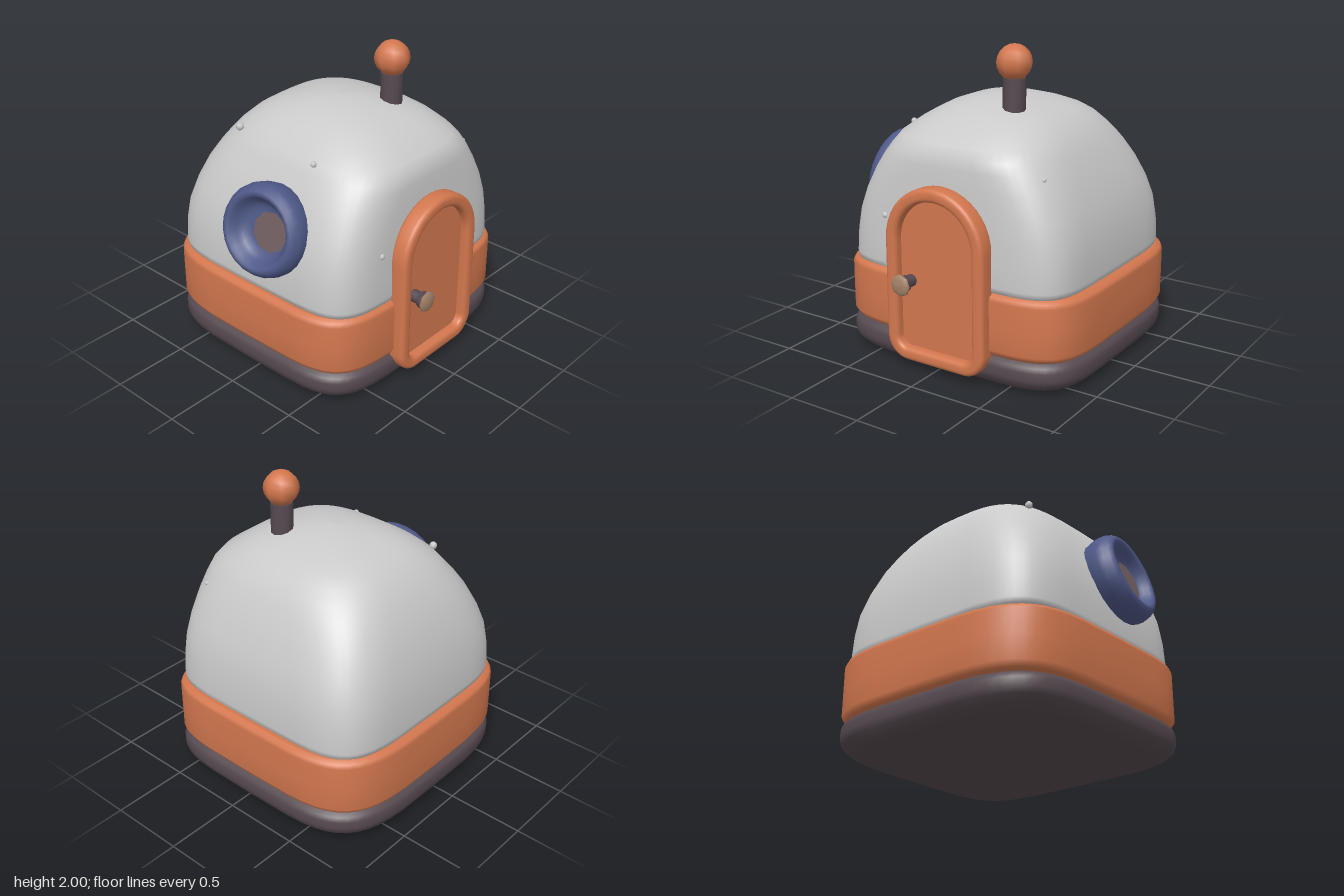
import * as THREE from 'three';
import { toCreasedNormals } from 'three/addons/utils/BufferGeometryUtils.js';

// Skin through rounded-square sections: [y, minX, maxX, back, front, squareness at -x, squareness at +x]
function loft(rows, seg = 48) {
  const pos = [], idx = [];
  rows.forEach(([y, l, r, b, f, nMin, nMax]) => {
    for (let i = 0; i < seg; i++) {
      const t = (i / seg) * Math.PI * 2, c = Math.cos(t), s = Math.sin(t);
      const e = 2 / (c > 0 ? nMax : nMin);
      pos.push(
        (l + r) / 2 + ((r - l) / 2) * Math.sign(c) * Math.abs(c) ** e,
        y,
        (b + f) / 2 + ((f - b) / 2) * Math.sign(s) * Math.abs(s) ** e);
    }
  });
  for (let j = 0; j < rows.length - 1; j++) {
    for (let i = 0; i < seg; i++) {
      const a = j * seg + i, d = j * seg + ((i + 1) % seg);
      idx.push(a, a + seg, d, d, a + seg, d + seg);
    }
  }
  const g = new THREE.BufferGeometry();
  g.setAttribute('position', new THREE.Float32BufferAttribute(pos, 3));
  g.setIndex(idx);
  g.computeVertexNormals();
  return g;
}

// Belt-like slab: profile is a list of [y, inset], closed at both ends
function slab(profile) {
  const row = ([y, d]) => [y, -0.9 + d, 0.755 - d, -0.9 + d, 0.82 - d, 4.2, 5.4];
  const cap = (y) => [y, -0.07, -0.07, -0.04, -0.04, 4, 4];
  const first = profile[0], last = profile[profile.length - 1];
  return loft([cap(first[0]), row(first), ...profile.map(row), row(last), cap(last[0])]);
}

// Arched outline with rounded lower corners
function arch(Type, hw, bottom, top, r) {
  const p = new Type();
  p.moveTo(-hw + r, bottom);
  p.lineTo(hw - r, bottom);
  p.absarc(hw - r, bottom + r, r, -Math.PI / 2, 0, false);
  p.lineTo(hw, top - hw);
  p.absarc(0, top - hw, hw, 0, Math.PI, false);
  p.lineTo(-hw, bottom + r);
  p.absarc(-hw + r, bottom + r, r, Math.PI, Math.PI * 1.5, false);
  return p;
}

export function createModel() {
  const mat = (name, color) => {
    const m = new THREE.MeshStandardMaterial({ color });
    m.name = name;
    return m;
  };
  const grey = mat('shellGrey', 0xcacaca);
  const orange = mat('orange', 0xd2774e);
  const dark = mat('darkBrown', 0x564a50);
  const blue = mat('blue', 0x4f5988);
  const brown = mat('knobBrown', 0xa48269);
  const glass = mat('windowBrown', 0x705d5f);

  const model = new THREE.Group();
  const add = (name, geo, m, x = 0, y = 0, z = 0, parent = model) => {
    const mesh = new THREE.Mesh(geo, m);
    mesh.name = name;
    mesh.position.set(x, y, z);
    parent.add(mesh);
    return mesh;
  };

  // Base, belt and domed shell
  add('base', slab([[0, 0.09], [0.02, 0.05], [0.06, 0.01], [0.1, 0], [0.15, 0], [0.18, 0.01], [0.2, 0.04]]), dark);
  add('belt', slab([[0.2, 0.04], [0.215, 0.02], [0.25, 0], [0.4, 0], [0.56, 0], [0.585, 0.01], [0.6, 0.04]]), orange);
  add('shell', loft([
    [0.59, -0.82, 0.7, -0.82, 0.74, 5.1, 6.1],
    [0.605, -0.845, 0.725, -0.84, 0.765, 5.1, 6.1],
    [0.64, -0.85, 0.73, -0.845, 0.77, 5.1, 6.1],
    [0.78, -0.842, 0.727, -0.838, 0.762, 5.1, 6],
    [0.92, -0.825, 0.72, -0.82, 0.742, 5, 5.8],
    [1.06, -0.79, 0.712, -0.782, 0.7, 4.7, 5.3],
    [1.2, -0.742, 0.703, -0.725, 0.64, 4.3, 4.6],
    [1.3, -0.69, 0.696, -0.675, 0.585, 4, 4],
    [1.37, -0.648, 0.685, -0.635, 0.54, 3.7, 3.6],
    [1.43, -0.605, 0.645, -0.595, 0.505, 3.4, 3.3],
    [1.5, -0.54, 0.545, -0.53, 0.425, 3.1, 3.1],
    [1.55, -0.465, 0.46, -0.46, 0.35, 2.9, 2.9],
    [1.59, -0.37, 0.365, -0.36, 0.28, 2.7, 2.7],
    [1.625, -0.245, 0.24, -0.24, 0.18, 2.4, 2.4],
    [1.643, -0.13, 0.13, -0.14, 0.08, 2.2, 2.2],
    [1.65, 0, 0, -0.03, -0.03, 2, 2],
  ]), grey);

  // Porthole: thick ring that funnels in to an off-centre pane
  const porthole = new THREE.Group();
  porthole.name = 'porthole';
  porthole.position.set(0.092, 1.035, 0.742);
  porthole.rotation.set(-0.25, 0.11, 0);
  model.add(porthole);
  const ringProfile = [
    [0.25, -0.2], [0.275, -0.1], [0.29, -0.04], [0.296, 0.01], [0.29, 0.05], [0.272, 0.085],
    [0.25, 0.104], [0.228, 0.104], [0.21, 0.088], [0.19, 0.055], [0.17, 0.03], [0.145, 0.014], [0.11, 0.006], [0.001, 0.004],
  ].map(([r, y]) => new THREE.Vector2(r, y));
  add('portholeRing', new THREE.LatheGeometry(ringProfile, 24).rotateX(Math.PI / 2), blue, 0, 0, 0, porthole);
  add('portholePane', new THREE.CircleGeometry(0.128, 9), glass, 0.052, 0.005, 0.034, porthole);

  // Door on the left side: rounded frame around a recessed panel
  const door = new THREE.Group();
  door.name = 'door';
  door.rotation.y = Math.PI / 2;
  door.position.set(0.7, 0, -0.04);
  model.add(door);
  const frame = arch(THREE.Shape, 0.33, 0.09, 1.17, 0.12);
  frame.holes.push(arch(THREE.Path, 0.305, 0.115, 1.145, 0.1));
  const frameGeo = new THREE.ExtrudeGeometry(frame, {
    depth: 0.065, bevelThickness: 0.03, bevelSize: 0.03, bevelSegments: 4, curveSegments: 10,
  });
  add('doorFrame', toCreasedNormals(frameGeo, 0.9), orange, 0, 0, 0.03, door);
  const panelGeo = new THREE.ExtrudeGeometry(arch(THREE.Shape, 0.31, 0.11, 1.15, 0.1), {
    depth: 0.065, bevelEnabled: false, curveSegments: 10,
  });
  add('doorPanel', toCreasedNormals(panelGeo, 0.6), orange, 0, 0, 0, door);

  // Door knob: stem, dark collar and rounded brown cap, along +x
  const peg = (name, r0, r1, x0, x1, m) => add(name,
    toCreasedNormals(new THREE.CylinderGeometry(r1, r0, x1 - x0, 8).rotateZ(-Math.PI / 2), 0.9),
    m, (x0 + x1) / 2, 0.58, 0.16);
  peg('knobStem', 0.04, 0.04, 0.75, 0.835, dark);
  peg('knobCollar', 0.05, 0.06, 0.825, 0.868, dark);
  const capProfile = [[0.001, 0], [0.06, 0], [0.072, 0.01], [0.066, 0.02], [0.04, 0.03], [0.001, 0.034]]
    .map(([r, y]) => new THREE.Vector2(r, y));
  add('knobCap', new THREE.LatheGeometry(capProfile, 8).rotateZ(-Math.PI / 2), brown, 0.866, 0.58, 0.16);

  // Antenna
  add('antennaStem', toCreasedNormals(new THREE.CylinderGeometry(0.072, 0.072, 0.26, 10), 0.9), dark, 0.23, 1.665, -0.24);
  add('antennaBall', new THREE.SphereGeometry(0.113, 8, 10), orange, 0.23, 1.887, -0.24);

  // Rivets
  [[-0.43, 1.45, 0.445, 0.026], [0.26, 1.44, 0.505, 0.02], [0.705, 0.94, 0.4, 0.022], [0.52, 1.28, -0.63, 0.014]]
    .forEach(([x, y, z, r]) => add('rivet', new THREE.SphereGeometry(r, 7, 5), grey, x, y, z));

  return model;
}
